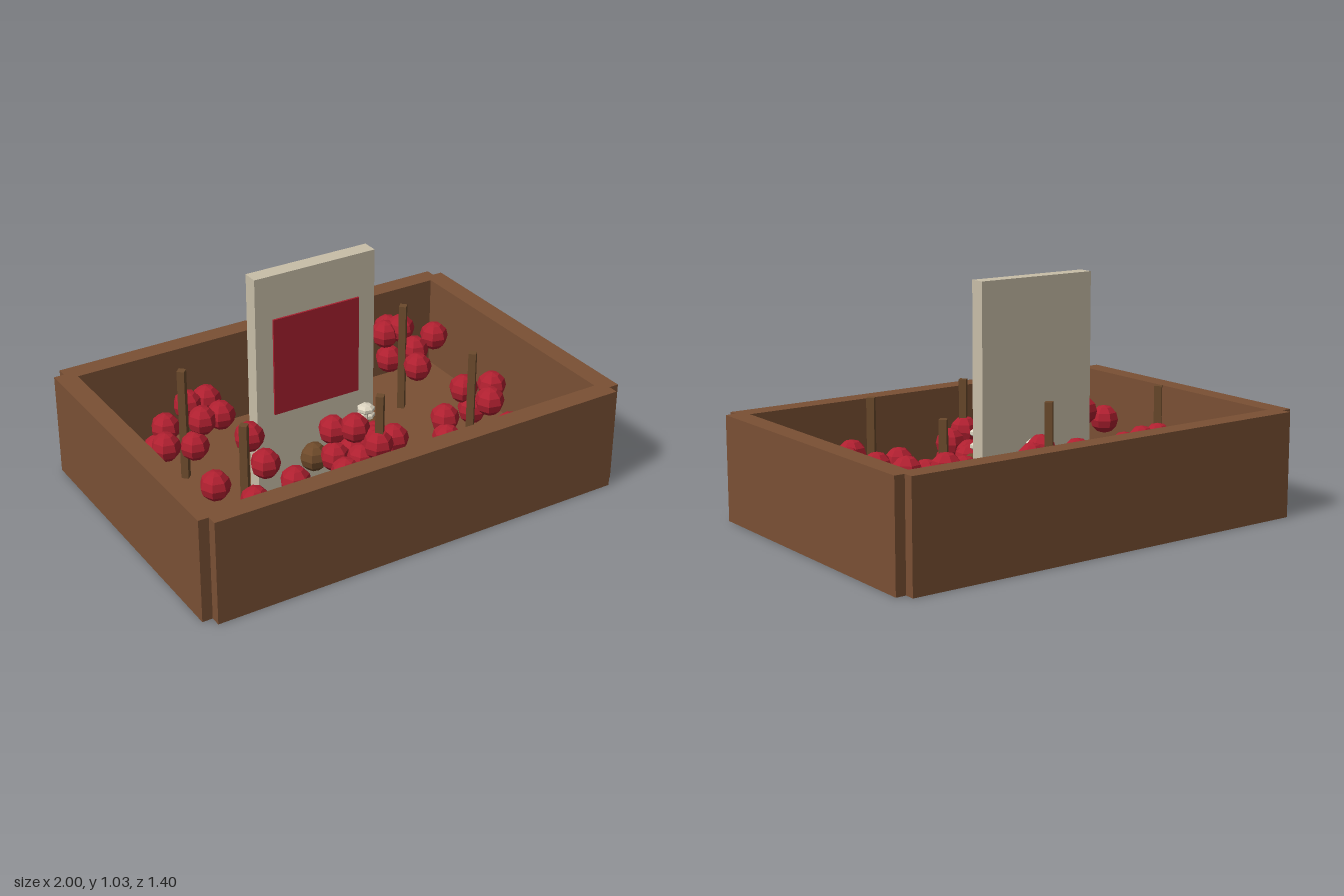
import * as THREE from 'three';

const mat = (name, color, flatShading = false) => {
  const m = new THREE.MeshStandardMaterial({ color, flatShading });
  m.name = name;
  return m;
};

export function createModel() {
  const group = new THREE.Group();
  const wood = mat('wood', 0x7a5034);
  const stakeWood = mat('stake wood', 0x6b4a2c, true);
  const cream = mat('cream board', 0xc8bea8);
  const red = mat('red panel', 0xa5202f);
  const fruitRed = mat('fruit red', 0xb02030, true);
  const clod = mat('clod brown', 0x6e4a2a, true);
  const pale = mat('pale cap', 0xdcd4c0, true);

  const add = (name, geo, material, x, y, z) => {
    const mesh = new THREE.Mesh(geo, material);
    mesh.name = name;
    mesh.position.set(x, y, z);
    group.add(mesh);
    return mesh;
  };
  // Box given by its lower and upper corners
  const box = (name, material, [x0, y0, z0], [x1, y1, z1]) =>
    add(name, new THREE.BoxGeometry(x1 - x0, y1 - y0, z1 - z0), material,
      (x0 + x1) / 2, (y0 + y1) / 2, (z0 + z1) / 2);

  // Planter: floor and four walls that leave notched corners
  box('floor', wood, [-0.93, 0, -0.63], [0.93, 0.03, 0.63]);
  for (const s of [1, -1]) {
    add(s > 0 ? 'frontWall' : 'backWall', new THREE.BoxGeometry(1.91, 0.46, 0.09), wood, 0, 0.23, s * 0.655);
    add(s > 0 ? 'leftWall' : 'rightWall', new THREE.BoxGeometry(0.09, 0.46, 1.31), wood, s * 0.955, 0.23, 0);
  }

  // Upright board with a red panel on its front
  box('board', cream, [-0.39, 0, -0.05], [0.18, 1.035, 0.02]);
  box('redPanel', red, [-0.31, 0.4, 0.02], [0.1, 0.84, 0.029]);

  // Stakes
  const stakeGeo = new THREE.CylinderGeometry(0.023, 0.023, 0.53, 4);
  for (const [x, z] of [[-0.585, 0.26], [-0.585, -0.275], [0.005, 0.343], [0.005, -0.275], [0.545, 0.235], [0.545, -0.3]])
    add('stake', stakeGeo, stakeWood, x, 0.285, z);

  // Fruit clusters around each stake: x, y, z
  const clusters = {
    frontRightFruit: [[-0.71, 0.3, 0.24], [-0.48, 0.39, 0.11], [-0.44, 0.28, 0.17], [-0.6, 0.26, 0.37],
      [-0.62, 0.17, 0.42], [-0.53, 0.2, 0.38], [-0.46, 0.16, 0.42], [-0.42, 0.3, 0.38]],
    backRightFruit: [[-0.69, 0.23, -0.24], [-0.64, 0.26, -0.34], [-0.53, 0.34, -0.34], [-0.44, 0.34, -0.34],
      [-0.42, 0.3, -0.25], [-0.51, 0.3, -0.25], [-0.56, 0.2, -0.23], [-0.69, 0.18, -0.32]],
    frontMiddleFruit: [[-0.17, 0.25, 0.36], [0, 0.32, 0.34], [0.11, 0.29, 0.29], [0.08, 0.2, 0.34],
      [0, 0.31, 0.16], [0.1, 0.24, 0.16], [-0.06, 0.28, 0.08], [-0.01, 0.2, 0.23], [0.07, 0.25, 0.2],
      [0.03, 0.16, 0.09], [-0.08, 0.18, 0.13]],
    backMiddleFruit: [[0.05, 0.3, -0.47], [-0.06, 0.29, -0.43], [-0.1, 0.33, -0.33], [-0.07, 0.26, -0.27],
      [0.05, 0.31, -0.22], [0.09, 0.25, -0.2], [-0.05, 0.32, -0.15], [0.1, 0.2, -0.1], [-0.04, 0.18, -0.07],
      [-0.08, 0.2, -0.44]],
    frontLeftFruit: [[0.42, 0.26, 0.22], [0.39, 0.2, 0.28], [0.62, 0.31, 0.27], [0.68, 0.2, 0.34],
      [0.71, 0.31, 0.16], [0.61, 0.29, 0.09], [0.63, 0.2, 0.13]],
    backLeftFruit: [[0.58, 0.35, -0.48], [0.53, 0.36, -0.42], [0.6, 0.38, -0.4], [0.66, 0.26, -0.37],
      [0.71, 0.36, -0.29], [0.61, 0.31, -0.3], [0.54, 0.3, -0.17], [0.56, 0.22, -0.43]],
  };
  const fruitGeo = new THREE.SphereGeometry(0.065, 7, 6);
  for (const [name, points] of Object.entries(clusters))
    points.forEach(([x, y, z]) => add(name, fruitGeo, fruitRed, x, y, z));

  // Brown clods at the foot of the board
  for (const [x, y, z] of [[0.13, 0.22, 0.08], [0.06, 0.1, 0.06], [-0.13, 0.15, 0.04], [-0.12, 0.16, -0.09], [0.04, 0.12, -0.1]])
    add('clod', fruitGeo, clod, x, y, z);

  // Pale flattened caps on thin stems
  const capGeo = new THREE.SphereGeometry(0.04, 7, 5).scale(1, 0.55, 1);
  for (const [x, y, z] of [[0.08, 0.36, 0.12], [0.1, 0.31, 0.09], [-0.04, 0.34, -0.12], [0.06, 0.27, -0.09]]) {
    add('cap', capGeo, pale, x, y, z);
    add('stem', new THREE.CylinderGeometry(0.01, 0.012, y - 0.03, 5), pale, x, (y + 0.03) / 2, z);
  }
  return group;
}
